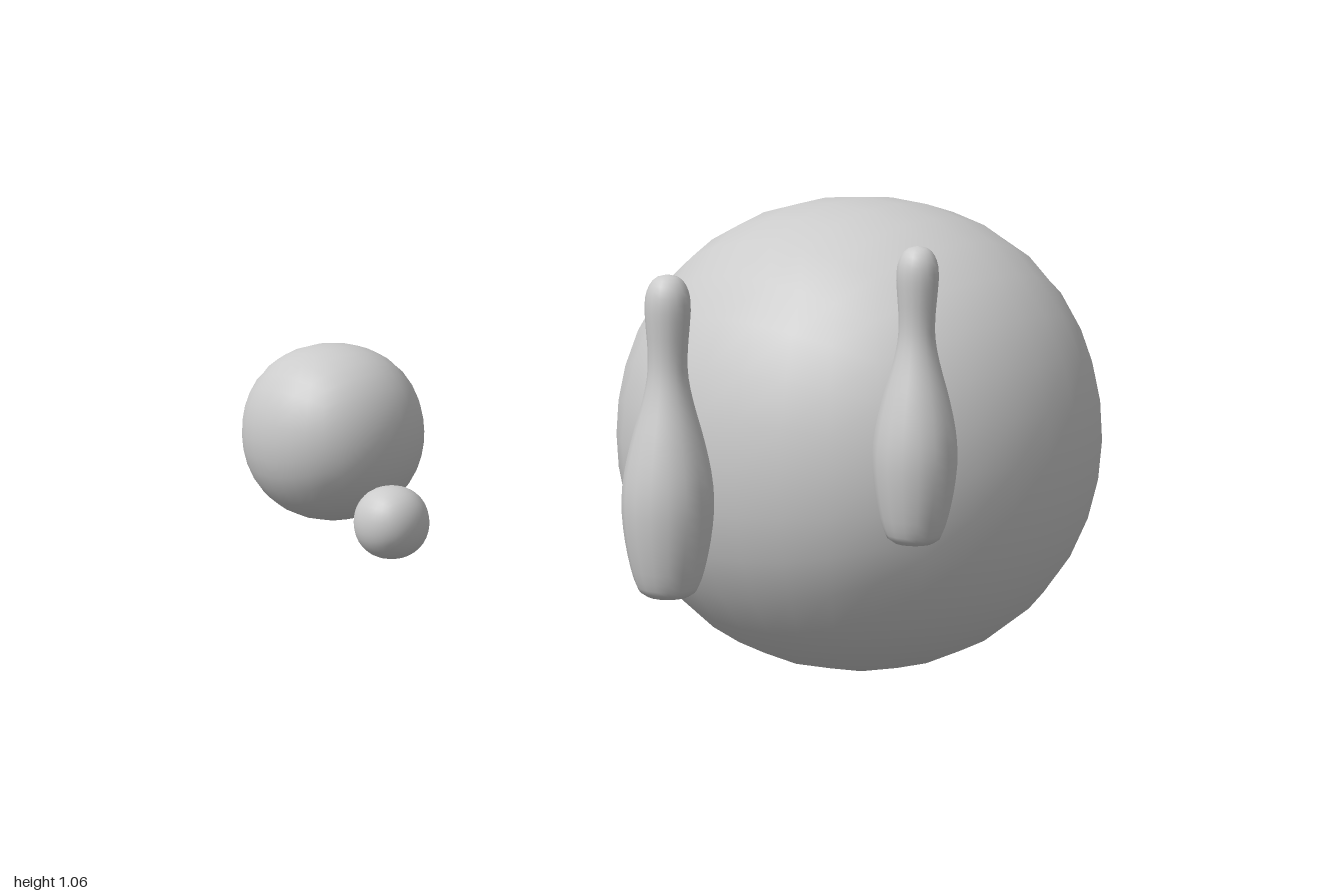
import * as THREE from 'three';
import { mergeVertices } from 'three/addons/utils/BufferGeometryUtils.js';

const material = new THREE.MeshStandardMaterial({ color: 0xcccccc });

// Subdivided-cube ball: nearly a sphere, slightly fuller along the cube's edges and corners
function ballGeometry(radius) {
  let geo = new THREE.BoxGeometry(2, 2, 2, 8, 8, 8);
  geo.deleteAttribute('uv');
  geo.deleteAttribute('normal');
  geo = mergeVertices(geo);
  const pos = geo.attributes.position;
  const v = new THREE.Vector3();
  const even = (t) => Math.tan((t * Math.PI) / 4);
  for (let i = 0; i < pos.count; i++) {
    v.fromBufferAttribute(pos, i);
    v.set(even(v.x), even(v.y), even(v.z)).normalize();
    const q = v.x ** 4 + v.y ** 4 + v.z ** 4;
    v.multiplyScalar(radius * (1 + 0.05 * (1 - q)));
    pos.setXYZ(i, v.x, v.y, v.z);
  }
  geo.computeVertexNormals();
  return geo;
}

// Pin profile (radius, height above its foot), smoothed with a spline
function pinGeometry() {
  const profile = new THREE.SplineCurve([
    [0.048, 0.008], [0.059, 0.035], [0.071, 0.09], [0.077, 0.15], [0.073, 0.205],
    [0.06, 0.265], [0.043, 0.325], [0.034, 0.37], [0.033, 0.41], [0.036, 0.45],
    [0.038, 0.485], [0.034, 0.512], [0.021, 0.532], [0, 0.538],
  ].map(([r, y]) => new THREE.Vector2(r, y)));
  const points = profile.getPoints(32);
  points[points.length - 1].x = 0;
  return new THREE.LatheGeometry([new THREE.Vector2(0, 0), new THREE.Vector2(0.036, 0), ...points], 16);
}

export function createModel() {
  const group = new THREE.Group();
  const add = (name, geometry, x, y, z) => {
    const mesh = new THREE.Mesh(geometry, material);
    mesh.name = name;
    mesh.position.set(x, y, z);
    group.add(mesh);
  };

  // Three balls with their centres at one height
  add('largeBall', ballGeometry(0.519), 0.48, 0.522, 0.07);
  add('mediumBall', ballGeometry(0.195), -0.317, 0.524, -0.766);
  add('smallBall', ballGeometry(0.069), -0.858, 0.524, 0.066);

  // Two pins standing at the level of the ball centres
  const pin = pinGeometry();
  add('outerPin', pin, -0.923, 0.524, 0.85);
  add('innerPin', pin, -0.317, 0.524, 0.881);
  return group;
}
